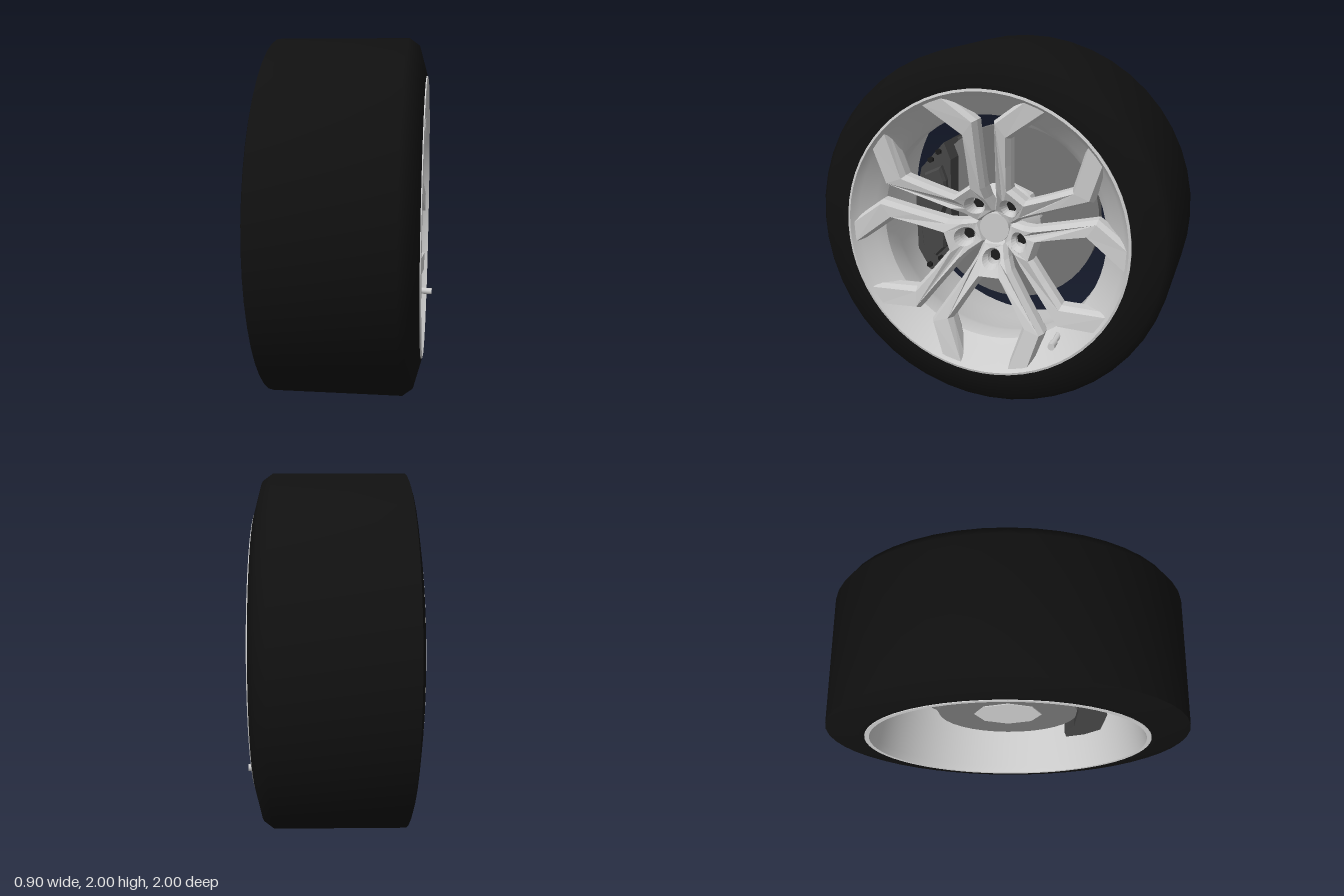
import * as THREE from 'three';
import { toCreasedNormals } from 'three/addons/utils/BufferGeometryUtils.js';

const mat = (color) => new THREE.MeshStandardMaterial({ color, side: THREE.DoubleSide });
const alloy = mat(0xcccccc);
const rubber = mat(0x101010);
const iron = mat(0x747474);
const darkIron = mat(0x464646);
const black = mat(0x1c1c1c);

const pts = (list) => list.map(([x, y]) => new THREE.Vector2(x, y));

// The wheel is built around the z axis with its outer face at +z.
function add(parent, name, geometry, material) {
  const mesh = new THREE.Mesh(geometry, material);
  mesh.name = name;
  parent.add(mesh);
  return mesh;
}

// Lathe from [radius, z] pairs
function turned(profile, segments, crease) {
  const g = new THREE.LatheGeometry(pts(profile), segments);
  g.rotateX(Math.PI / 2);
  return toCreasedNormals(g, crease);
}

// Cylinder along z between two depths
function rod(rFront, rBack, z0, z1, sides, x = 0, y = 0) {
  const g = new THREE.CylinderGeometry(rFront, rBack, z1 - z0, sides);
  g.rotateX(Math.PI / 2);
  g.translate(x, y, (z0 + z1) / 2);
  return toCreasedNormals(g, 0.7);
}

// Flat plate with its back at z
function plate(outline, z, depth) {
  const g = new THREE.ExtrudeGeometry(new THREE.Shape(pts(outline)), { depth, bevelEnabled: false });
  g.translate(0, 0, z);
  return g;
}

// Front surface depth of a spoke at a given radius: steep at the hub, flatter towards the rim
function spokeDepth(r) {
  const steps = [[0.08, 0.2], [0.25, 0.305], [0.58, 0.37], [0.8, 0.392]];
  let i = 1;
  while (i < steps.length - 1 && r > steps[i][0]) i++;
  const [r0, z0] = steps[i - 1];
  const [r1, z1] = steps[i];
  return z0 + (r - r0) / (r1 - r0) * (z1 - z0);
}

// Forked spoke pointing along +y, with a bolt hole at its root
function spokeGeometry() {
  const half = [
    [0.052, 0.09], [0.075, 0.165], [0.105, 0.225], [0.205, 0.378], [0.31, 0.535],
    [0.245, 0.74], [0.14, 0.755], [0.225, 0.51], [0.14, 0.375], [0.06, 0.255],
  ];
  const mirrored = half.map(([x, y]) => [-x, y]).reverse();
  const shape = new THREE.Shape(pts([...half, ...mirrored]));
  const hole = new THREE.Path();
  hole.absarc(0, 0.165, 0.054, 0, Math.PI * 2, true);
  shape.holes.push(hole);
  const g = new THREE.ExtrudeGeometry(shape, {
    depth: 0.06, bevelThickness: 0.04, bevelSize: 0.018, bevelSegments: 1, curveSegments: 10,
  });
  g.translate(0, 0, -0.1);
  const p = g.attributes.position;
  for (let i = 0; i < p.count; i++) {
    p.setZ(i, p.getZ(i) + spokeDepth(Math.hypot(p.getX(i), p.getY(i))));
  }
  g.computeVertexNormals();
  return g;
}

function buildCaliper() {
  const caliper = new THREE.Group();
  caliper.name = 'brakeCaliper';
  add(caliper, 'caliperBody', plate([
    [-0.37, 0.42], [-0.33, 0.32], [-0.335, -0.25], [-0.4, -0.36],
    [-0.475, -0.37], [-0.55, -0.24], [-0.555, 0.08], [-0.515, 0.26],
  ], -0.27, 0.29), darkIron);
  // Rear half behind the disc
  add(caliper, 'caliperBack', plate([
    [-0.33, 0.41], [-0.38, 0.41], [-0.51, 0.25], [-0.55, 0.08], [-0.545, -0.22],
    [-0.46, -0.33], [-0.355, -0.385], [-0.34, -0.3], [-0.385, -0.15], [-0.385, 0.15],
  ], -0.31, 0.13), darkIron);
  // Raised front panel
  const panel = [
    [-0.385, 0.27], [-0.36, 0.2], [-0.36, 0.06], [-0.385, 0], [-0.36, -0.06], [-0.37, -0.2],
    [-0.42, -0.25], [-0.49, -0.2], [-0.51, 0.06], [-0.47, 0.23],
  ];
  const front = new THREE.ExtrudeGeometry(new THREE.Shape(pts(panel)), {
    depth: 0.03, bevelThickness: 0.02, bevelSize: 0.012, bevelSegments: 1,
  });
  front.translate(0, 0, 0.02);
  add(caliper, 'caliperPanel', front, darkIron);
  for (const [x, y] of [[-0.4, 0.365], [-0.45, 0.315], [-0.4, -0.285], [-0.475, -0.335]]) {
    add(caliper, 'caliperBolt', rod(0.018, 0.018, 0.01, 0.04, 6, x, y), black);
  }
  return caliper;
}

export function createModel() {
  const wheel = new THREE.Group();
  wheel.name = 'wheelAssembly';

  // Tyre and rim barrel
  add(wheel, 'tyre', turned([
    [0.77, -0.44], [0.795, -0.45], [0.82, -0.447], [0.97, -0.42], [1, -0.41],
    [1, 0.305], [0.96, 0.36], [0.81, 0.402], [0.785, 0.4],
  ], 48, 1.2), rubber);
  add(wheel, 'rim', turned([
    [0.795, -0.43], [0.79, -0.452], [0.765, -0.452], [0.755, -0.41], [0.72, -0.2], [0.66, 0.08],
    [0.64, 0.14], [0.64, 0.255], [0.68, 0.305], [0.75, 0.365], [0.775, 0.4], [0.782, 0.41],
    [0.795, 0.407], [0.795, 0.38],
  ], 64, 0.5), alloy);

  // Five forked spokes with wheel bolts
  const spoke = spokeGeometry();
  for (let i = 0; i < 5; i++) {
    const arm = new THREE.Group();
    arm.name = 'spokeGroup';
    arm.rotation.z = Math.PI + i * Math.PI * 2 / 5;
    add(arm, 'spoke', spoke, alloy);
    add(arm, 'wheelBolt', rod(0.034, 0.034, 0.08, 0.18, 6, 0, 0.165), black);
    wheel.add(arm);
  }

  // Hub and centre cap
  add(wheel, 'hub', rod(0.13, 0.22, 0.04, 0.175, 20), alloy);
  add(wheel, 'centreCap', rod(0.085, 0.09, 0.15, 0.205, 32), alloy);
  add(wheel, 'axleStub', rod(0.19, 0.19, -0.285, 0.08, 8), alloy);

  // Brake disc with its rear carrier
  add(wheel, 'brakeDisc', rod(0.525, 0.525, -0.17, -0.1, 48), iron);
  add(wheel, 'discCarrier', rod(0.46, 0.39, -0.28, -0.17, 32), iron);
  wheel.add(buildCaliper());

  // Tyre valve
  add(wheel, 'valveStem', rod(0.014, 0.018, 0.28, 0.4, 10, 0.4, -0.55), alloy);
  add(wheel, 'valveCap', rod(0.02, 0.02, 0.38, 0.445, 10, 0.4, -0.55), alloy);

  // Turn the outer face to +x and stand the wheel on the ground
  wheel.rotation.y = Math.PI / 2;
  wheel.position.y = 1;
  const model = new THREE.Group();
  model.name = 'wheel';
  model.add(wheel);
  return model;
}
